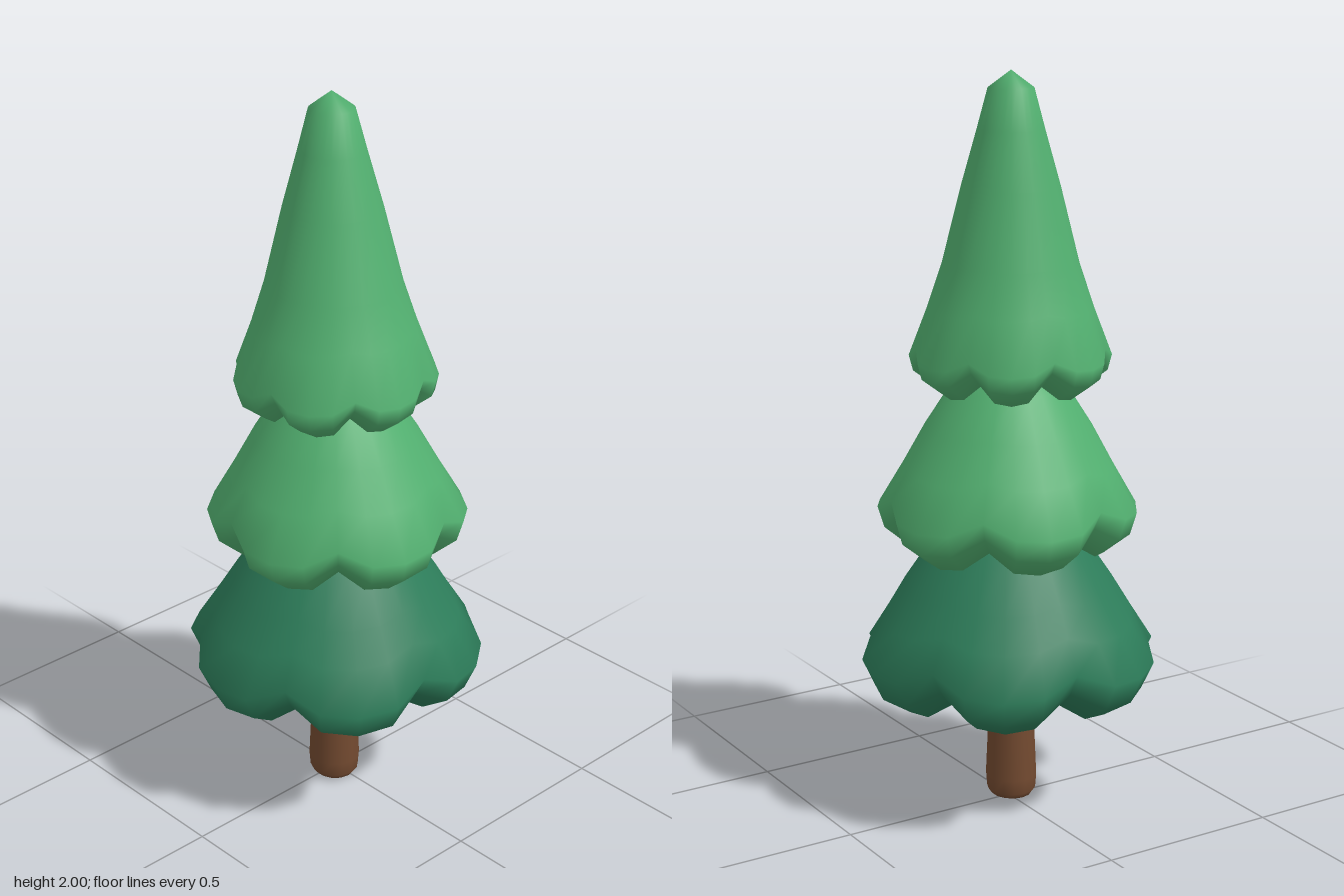
import * as THREE from 'three';
import { mergeVertices } from 'three/addons/utils/BufferGeometryUtils.js';

const material = (name, color) => Object.assign(new THREE.MeshStandardMaterial({ color }), { name });

// Smooth closed skin through rings; ring(i, angle) gives a point, top ring first
function skin(rings, sides, start, ring) {
  const position = [], index = [];
  for (let i = 0; i < rings; i++) {
    for (let j = 0; j < sides; j++) {
      position.push(...ring(i, start + (j / sides) * Math.PI * 2));
      if (i === rings - 1) continue;
      const a = i * sides + j, b = i * sides + (j + 1) % sides;
      index.push(a, a + sides, b, b, a + sides, b + sides);
    }
  }
  let geometry = new THREE.BufferGeometry();
  geometry.setAttribute('position', new THREE.Float32BufferAttribute(position, 3));
  geometry.setIndex(index);
  geometry = mergeVertices(geometry, 1e-5);
  geometry.computeVertexNormals();
  return geometry;
}

// Foliage tier: profile rows are [radius, height, scallop weight]
function tier(name, mat, { profile, lobes, valley, notch, lift, base, tip }) {
  const top = profile[0][1], bottom = profile[profile.length - 1][1];
  const start = THREE.MathUtils.degToRad(valley);
  const geometry = skin(profile.length, lobes * 4, start, (i, angle) => {
    const [radius, height, weight] = profile[i];
    const dip = weight * (1 - Math.sqrt(Math.abs(Math.sin((angle - start) * lobes / 2))));
    const r = radius * (1 - notch * dip);
    const t = (height - bottom) / (top - bottom);
    // angles run from +x towards -z
    return [
      THREE.MathUtils.lerp(base[0], tip[0], t) + r * Math.cos(angle),
      height + lift * dip,
      THREE.MathUtils.lerp(base[1], tip[1], t) - r * Math.sin(angle),
    ];
  });
  const mesh = new THREE.Mesh(geometry, mat);
  mesh.name = name;
  return mesh;
}

export function createModel() {
  const tree = new THREE.Group();
  tree.name = 'pineTree';
  const lightGreen = material('light green needles', 0x52b070);
  const darkGreen = material('dark green needles', 0x2d7d5a);
  const bark = material('brown bark', 0x734a30);

  // Trunk with a softly rounded foot, tapering upwards
  const trunkProfile = [[0, 0.6], [0.05, 0.6], [0.056, 0.4], [0.063, 0.2], [0.069, 0.06], [0.066, 0.02], [0.055, 0.004], [0, 0]];
  const trunk = new THREE.Mesh(skin(trunkProfile.length, 14, 0, (i, angle) => {
    const [r, y] = trunkProfile[i];
    return [0.011 + r * 1.06 * Math.cos(angle), y, 0.014 - r * Math.sin(angle)];
  }), bark);
  trunk.name = 'trunk';
  tree.add(trunk);

  tree.add(tier('lowerFoliage', darkGreen, {
    profile: [
      [0, 0.87, 0], [0.11, 0.85, 0], [0.21, 0.74, 0.1], [0.29, 0.62, 0.3], [0.345, 0.53, 0.5],
      [0.412, 0.425, 0.8], [0.38, 0.35, 1], [0.30, 0.3, 1], [0.2, 0.35, 0.6], [0.08, 0.4, 0.1], [0, 0.41, 0],
    ],
    lobes: 6, valley: -4, notch: 0.11, lift: 0.06, base: [0, 0], tip: [0, 0],
  }));

  tree.add(tier('middleFoliage', lightGreen, {
    profile: [
      [0, 1.27, 0], [0.08, 1.25, 0], [0.155, 1.17, 0], [0.225, 1.06, 0.15], [0.285, 0.95, 0.4],
      [0.352, 0.835, 0.8], [0.335, 0.775, 1], [0.265, 0.72, 1], [0.17, 0.76, 0.5], [0, 0.8, 0],
    ],
    lobes: 6, valley: 17, notch: 0.1, lift: 0.055, base: [0.006, -0.003], tip: [0, 0],
  }));

  tree.add(tier('upperFoliage', lightGreen, {
    profile: [
      [0, 2, 0], [0.06, 1.955, 0], [0.088, 1.85, 0], [0.13, 1.7, 0], [0.18, 1.5, 0.05], [0.22, 1.38, 0.25],
      [0.272, 1.245, 0.7], [0.262, 1.2, 1], [0.2, 1.155, 1], [0.12, 1.19, 0.4], [0, 1.21, 0],
    ],
    lobes: 7, valley: 20, notch: 0.09, lift: 0.045, base: [0.012, 0.012], tip: [-0.018, -0.005],
  }));

  return tree;
}
